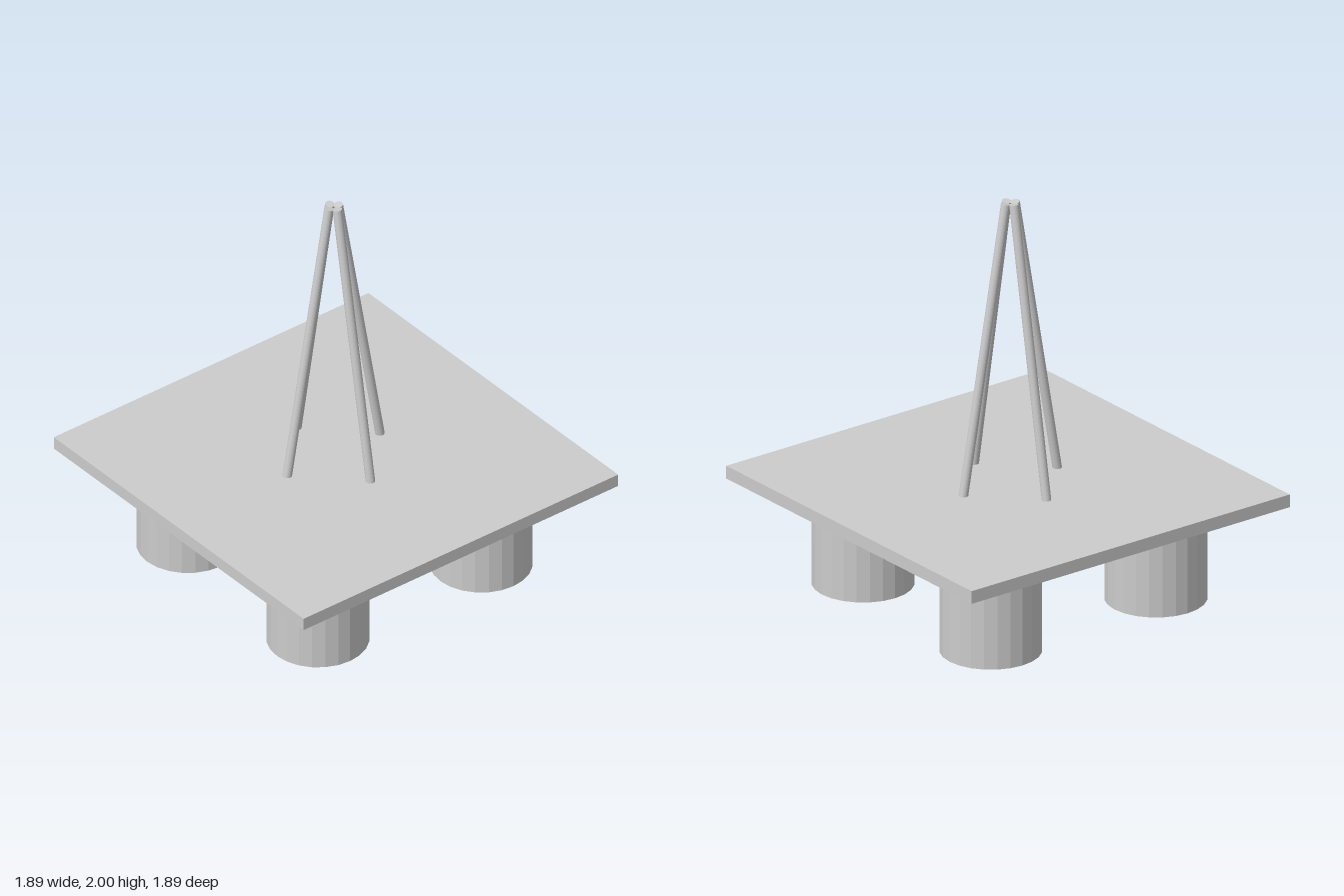
import * as THREE from 'three';

export function createModel() {
  const model = new THREE.Group();
  const material = new THREE.MeshStandardMaterial({ color: 0xcccccc, flatShading: true });

  function add(name, geometry, x, y, z) {
    const mesh = new THREE.Mesh(geometry, material);
    mesh.name = name;
    mesh.position.set(x, y, z);
    model.add(mesh);
    return mesh;
  }

  // Square deck
  add('platform', new THREE.BoxGeometry(1.89, 0.065, 1.89), 0, 0.5375, 0);

  // Four drum floats; the back right one hangs slightly lower
  const drum = new THREE.CylinderGeometry(0.244, 0.244, 0.49, 24);
  for (const x of [-0.497, 0.486]) {
    for (const z of [-0.486, 0.495]) {
      const low = x < 0 && z < 0;
      add('float', drum, x, low ? 0.245 : 0.255, z);
    }
  }

  // Four poles leaning together at the top
  const up = new THREE.Vector3(0, 1, 0);
  const centreX = -0.018;
  for (let i = 0; i < 4; i++) {
    const dx = Math.round(Math.cos(i * Math.PI / 2));
    const dz = Math.round(Math.sin(i * Math.PI / 2));
    const foot = new THREE.Vector3(centreX + dx * 0.28, 0.56, dz * 0.28);
    const tip = new THREE.Vector3(centreX + dx * 0.028, 1.996, dz * 0.028);
    const axis = tip.clone().sub(foot);
    const middle = foot.clone().add(tip).multiplyScalar(0.5);
    const pole = add('pole', new THREE.CylinderGeometry(0.0225, 0.0225, axis.length(), 24),
      middle.x, middle.y, middle.z);
    pole.quaternion.setFromUnitVectors(up, axis.normalize());
  }

  return model;
}
